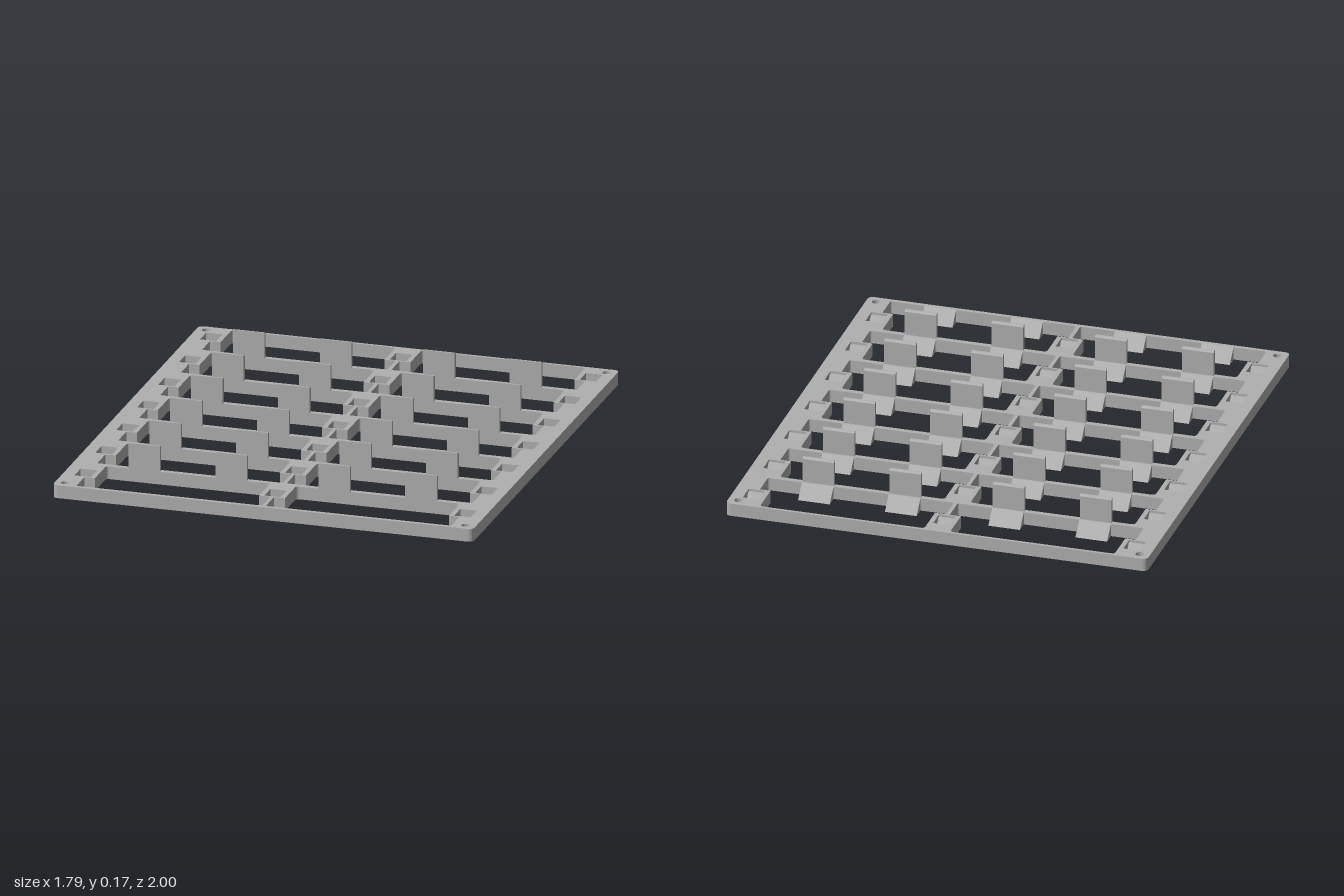
import * as THREE from 'three';

const H = 0.055;        // frame height
const HALF_X = 0.897;   // half width of the frame
const PITCH = 0.285;    // spacing of rows along z
const ROWS = 7;

// Closed path through points [x, y, radius], rounding corners that have a radius
function roundedPath(path, pts) {
  const n = pts.length;
  pts.forEach(([x, y, r = 0], i) => {
    const p = new THREE.Vector2(x, y);
    const toward = (q) => new THREE.Vector2(q[0], q[1]).sub(p).normalize().multiplyScalar(r).add(p);
    const a = toward(pts[(i + n - 1) % n]);
    const b = toward(pts[(i + 1) % n]);
    if (i === 0) path.moveTo(a.x, a.y);
    else path.lineTo(a.x, a.y);
    if (r > 0) path.quadraticCurveTo(x, y, b.x, b.y);
  });
  path.closePath();
  return path;
}

// Prism with a (z, y) profile, extruded along x and centred on x = 0
function prism(profile, width) {
  const shape = new THREE.Shape(profile.map(([z, y]) => new THREE.Vector2(z, y)));
  const geo = new THREE.ExtrudeGeometry(shape, { depth: width, bevelEnabled: false });
  geo.translate(0, 0, -width / 2);
  geo.rotateY(-Math.PI / 2);
  return geo;
}

export function createModel() {
  const model = new THREE.Group();
  model.name = 'slottedRack';
  const grey = new THREE.MeshStandardMaterial({ color: 0xb0b0b0 });
  grey.name = 'plain grey';

  const add = (name, geo, x = 0, z = 0) => {
    const mesh = new THREE.Mesh(geo, grey);
    mesh.name = name;
    mesh.position.set(x, 0, z);
    model.add(mesh);
  };

  // Flat frame, drawn in (x, z), with cut-outs for cells, sockets and screws
  const outline = roundedPath(new THREE.Shape(), [
    [-HALF_X, -1, 0.025], [HALF_X, -1, 0.025], [HALF_X, 1, 0.025], [-HALF_X, 1, 0.025],
  ]);
  const cut = (pts) => outline.holes.push(roundedPath(new THREE.Path(), pts));

  for (const sx of [-1, 1]) {
    for (const z of [-0.96, 0.96]) {
      const screw = new THREE.Path();
      screw.absarc(sx * 0.854, z, 0.018, 0, Math.PI * 2);
      outline.holes.push(screw);
    }
  }

  const socketX = [-0.81, 0, 0.81];
  for (let i = 0; i < ROWS; i++) {
    const o = i * PITCH;
    const start = i === 0 ? -0.987 : -0.99 + o;
    const end = -0.728 + o;
    const step = -0.838 + o;
    // Cells narrow at the back, where the socket pads stand
    for (const s of [-1, 1]) {
      cut([
        [s * 0.055, start, 0.016], [s * 0.755, start, 0.016], [s * 0.755, step],
        [s * 0.8, step], [s * 0.8, end, 0.008], [s * 0.008, end, 0.008],
        [s * 0.008, step], [s * 0.055, step],
      ]);
    }
    for (const x of socketX) {
      cut([
        [x - 0.035, -0.93 + o], [x + 0.035, -0.93 + o],
        [x + 0.035, -0.846 + o], [x - 0.035, -0.846 + o],
      ]);
    }
  }
  const frame = new THREE.ExtrudeGeometry(outline, { depth: H, bevelEnabled: false, curveSegments: 8 });
  frame.rotateX(Math.PI / 2);
  frame.translate(0, H, 0);
  add('frame', frame);

  // Sloped floor in each socket
  const socketRamp = prism([[-0.044, 0], [0.002, 0], [0.002, 0.045], [-0.01, 0.045]], 0.07);
  // Sloped ledge behind each crossbar, and upright tab above it
  const ledge = prism([[-0.054, 0], [0.004, 0], [0.004, H], [0, H]], 0.135);
  const tab = prism([
    [0.008, 0.05], [0.023, 0.05], [0.023, 0.165], [0.015, 0.165], [0.008, 0.158],
  ], 0.135);

  for (let i = 0; i < ROWS; i++) {
    const o = i * PITCH;
    for (const x of socketX) add('socketRamp', socketRamp, x, -0.846 + o);
    for (const x of [-0.593, -0.222, 0.218, 0.588]) {
      add('ledge', ledge, x, -0.728 + o);
      if (i < ROWS - 1) add('uprightTab', tab, x, -0.728 + o);
    }
  }
  return model;
}
